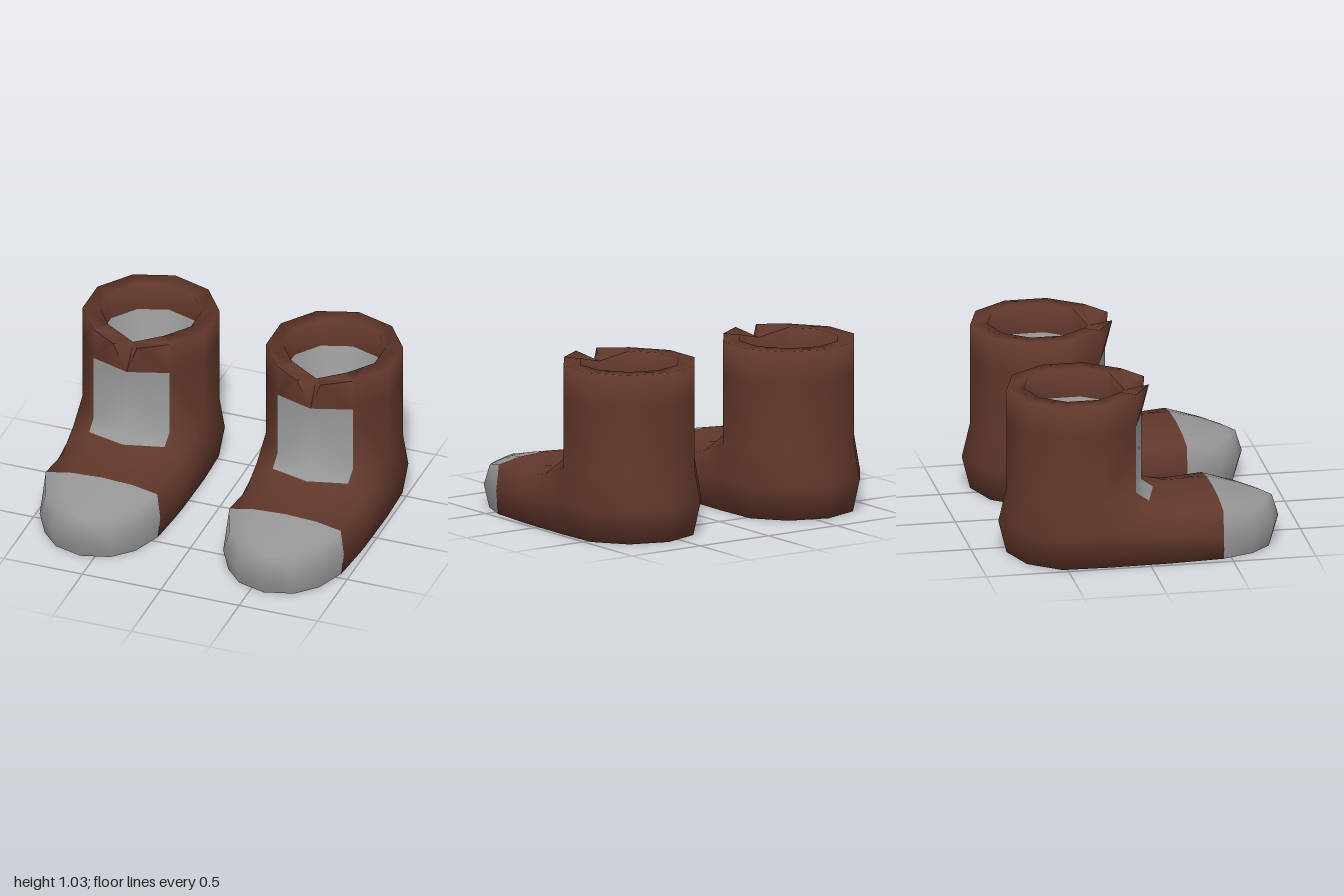
import * as THREE from 'three';
import { toCreasedNormals } from 'three/addons/utils/BufferGeometryUtils.js';

const BROWN = 0x61372b, GREY = 0x959595, ZC = -0.39;

// Skin a half model (x >= 0): columns run back to front, their points run bottom to top.
// Each strip is mirrored across x = 0; collapsed triangles are dropped.
function skin(strips) {
  const pos = [];
  const v = (p) => new THREE.Vector3(...p);
  const tri = (a, b, c) => {
    const area = v(b).sub(v(a)).cross(v(c).sub(v(a))).length();
    if (area < 1e-6) return;
    pos.push(...a, ...b, ...c);
    for (const p of [a, c, b]) pos.push(-p[0], p[1], p[2]);
  };
  for (const cols of strips)
    for (let i = 0; i + 1 < cols.length; i++)
      for (let j = 0; j + 1 < cols[i].length; j++) {
        const a = cols[i][j], b = cols[i + 1][j], c = cols[i + 1][j + 1], d = cols[i][j + 1];
        tri(a, d, c);
        tri(a, c, b);
      }
  const geo = new THREE.BufferGeometry();
  geo.setAttribute('position', new THREE.Float32BufferAttribute(pos, 3));
  return toCreasedNormals(geo, 1.65);
}

// Point k of a ten-sided ring, counted from the back
function ring(k, r, y) {
  const a = (k * Math.PI) / 5;
  return [k % 5 ? r * Math.sin(a) : 0, y, ZC - r * Math.cos(a)];
}

// Foot column: sole centre, sole edge, then upper points, padded to six
function footCol(x, z, ...upper) {
  const col = [[0, 0, z], [x, 0, z], ...upper];
  while (col.length < 6) col.push(col[col.length - 1]);
  return col;
}

function bootGeometries() {
  const R = 0.41, r = 0.305, top = 1.03, liningTop = 0.85;

  // Shaft with a flat rim and a short inner wall
  const shaft = [];
  for (let k = 0; k < 5; k++)
    shaft.push([ring(k, R, 0.41), ring(k, R, 0.83), ring(k, R, top), ring(k, r, top), ring(k, r, liningTop)]);

  // V notch at the front: flared collar tip, then the flank sloping to the inner edge
  const apex = ring(5, R, 0.83), innerTop = ring(5, r, 0.98), innerLow = ring(5, r, liningTop);
  const collar = [
    shaft[4].slice(1),
    [apex, [0.075, top, 0.05], innerTop, innerLow],
    [apex, apex, innerTop, innerLow],
  ];

  // Heel and ankle
  const patchLow = [0.24, 0.355, 0.02], patchTip = [0, 0.36, 0.09];
  const waist = [0.385, 0.1, [0.405, 0.18, 0.1], [0.355, 0.3, 0.08], patchLow];
  const heel = [
    footCol(0, -0.80, [0, 0.2, -0.85], ring(0, R, 0.41)),
    footCol(0.235, -0.72, [0.25, 0.2, -0.77], ring(1, R, 0.41)),
    footCol(0.38, -0.53, [0.41, 0.2, -0.55], ring(2, R, 0.41)),
    footCol(0.39, -0.25, [0.415, 0.2, -0.24], ring(3, R, 0.41)),
    footCol(0.387, -0.03, [0.41, 0.19, -0.03], [0.365, 0.33, -0.04], ring(4, R, 0.41)),
    footCol(...waist),
  ];

  // Instep
  const capEdge = footCol(0.36, 0.45, [0.375, 0.14, 0.45], [0.355, 0.3, 0.45], [0.2, 0.33, 0.45], [0, 0.34, 0.45]);
  const instep = [
    footCol(...waist, patchTip),
    footCol(0.38, 0.2, [0.395, 0.17, 0.2], [0.34, 0.285, 0.2], [0.2, 0.322, 0.2], [0, 0.332, 0.2]),
    capEdge,
  ];

  // Toe cap
  const toe = [
    capEdge,
    footCol(0.29, 0.64, [0.315, 0.14, 0.66], [0.285, 0.26, 0.64], [0.17, 0.29, 0.64], [0, 0.3, 0.64]),
    footCol(0.175, 0.76, [0.19, 0.13, 0.79], [0.165, 0.245, 0.755], [0.09, 0.262, 0.76], [0, 0.272, 0.755]),
    footCol(0, 0.81, [0, 0.13, 0.85], [0, 0.26, 0.81]),
  ];

  // Front patch, following the shaft and bending onto the instep
  const patch = [
    [patchLow, ring(4, R, 0.41), ring(4, R, 0.83)],
    [patchTip, ring(5, R, 0.41), apex],
  ];

  // Lining: a deep tapering cup; points run downwards so that it faces inwards
  const lining = [];
  for (let k = 0; k <= 5; k++) lining.push([ring(k, r, liningTop), [0, 0.2, ZC]]);

  // The sole belongs to the brown body, also under the toe cap
  const sole = toe.map((c) => c.slice(0, 2));
  return {
    body: [skin([shaft, collar, heel, instep, sole]), BROWN],
    toeCap: [skin([toe.map((c) => c.slice(1))]), GREY],
    frontPatch: [skin([patch]), GREY],
    lining: [skin([lining]), GREY],
  };
}

export function createModel() {
  const model = new THREE.Group();
  model.name = 'bootPair';
  const parts = bootGeometries();
  const materials = {};
  for (const color of [BROWN, GREY]) materials[color] = new THREE.MeshStandardMaterial({ color });

  for (const [name, x] of [['leftBoot', 0.585], ['rightBoot', -0.585]]) {
    const boot = new THREE.Group();
    boot.name = name;
    boot.position.x = x;
    for (const [part, [geo, color]] of Object.entries(parts)) {
      const mesh = new THREE.Mesh(geo, materials[color]);
      mesh.name = part;
      boot.add(mesh);
    }
    model.add(boot);
  }
  return model;
}
